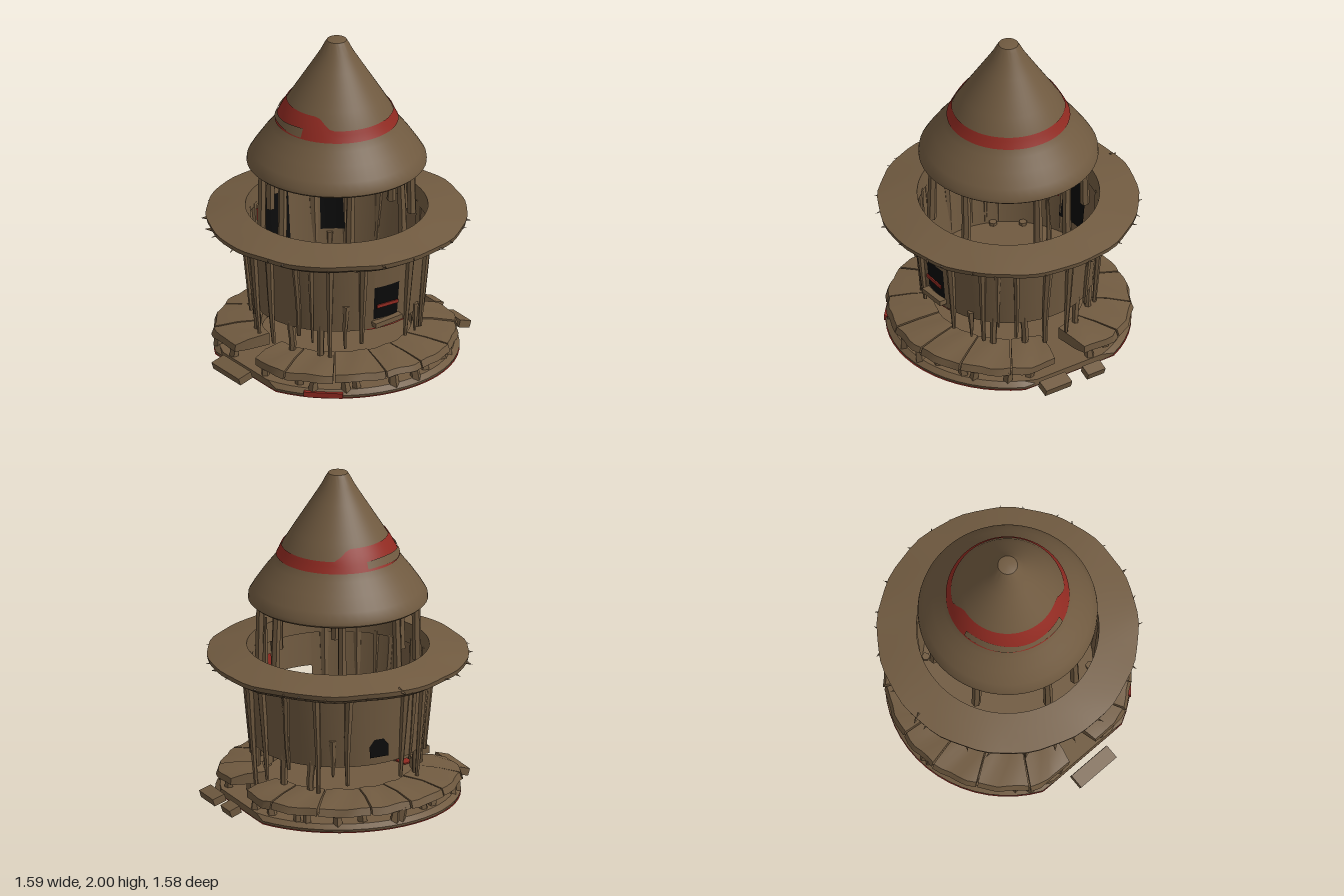
import * as THREE from 'three';
import { toCreasedNormals } from 'three/addons/utils/BufferGeometryUtils.js';

const wood = new THREE.MeshStandardMaterial({ color: 0x705a40, side: THREE.DoubleSide });
wood.name = 'weathered brown';
const red = new THREE.MeshStandardMaterial({ color: 0x912a21, side: THREE.DoubleSide });
red.name = 'faded red';
const black = new THREE.MeshStandardMaterial({ color: 0x0a0a0a });
black.name = 'opening black';

const TAU = Math.PI * 2;
const rad = (d) => (d * Math.PI) / 180;

// Seeded random numbers
let seed = 7;
function rnd(a = 0, b = 1) {
  seed = (seed * 16807) % 2147483647;
  return a + (b - a) * (seed / 2147483647);
}

export function createModel() {
  const model = new THREE.Group();

  function add(name, geo, mat, crease = 0.6) {
    const mesh = new THREE.Mesh(crease ? toCreasedNormals(geo, crease) : geo, mat);
    mesh.name = name;
    model.add(mesh);
    return mesh;
  }
  const lathe = (pts, start = 0, len = TAU, n = 48) =>
    new THREE.LatheGeometry(pts.map((p) => new THREE.Vector2(...p)), n, start, len);

  // Place a mesh around the axis; angle 0 is the front, 90 is +x
  function around(mesh, deg, r, y) {
    const a = rad(deg);
    mesh.position.set(Math.sin(a) * r, y, Math.cos(a) * r);
    mesh.rotation.y = a;
    return mesh;
  }

  // Tapered pole between two heights, leaning from one radius to another
  function pole(name, deg, y0, y1, r0, r1, w0, w1, sides = 6) {
    const h = y1 - y0;
    const geo = new THREE.CylinderGeometry(w1, w0, h, sides, 4);
    const p = geo.attributes.position;
    const bend = rnd(-0.006, 0.006);
    for (let i = 0; i < p.count; i++) {
      const t = p.getY(i) / h + 0.5;
      p.setX(i, p.getX(i) + bend * Math.sin(t * 5));
      p.setZ(i, p.getZ(i) + (t - 0.5) * (r1 - r0));
    }
    return around(add(name, geo, wood), deg, (r0 + r1) / 2, (y0 + y1) / 2);
  }

  // Upper conical roof
  const roof = [[0.47, 1.215], [0.515, 1.203], [0.528, 1.215], [0.525, 1.24], [0.495, 1.29], [0.44, 1.37],
    [0.385, 1.44], [0.352, 1.49], [0.325, 1.55], [0.27, 1.64], [0.21, 1.735], [0.15, 1.83],
    [0.1, 1.91], [0.072, 1.965], [0.058, 1.988], [0, 2]];
  add('upperRoof', lathe(roof, 0, TAU, 56), wood, 0.8);
  function roofRadius(y) {
    for (let i = 3; i < roof.length - 1; i++) {
      const [r0, y0] = roof[i], [r1, y1] = roof[i + 1];
      if (y <= y1) return r0 + ((r1 - r0) * (y - y0)) / (y1 - y0);
    }
    return 0;
  }

  // Painted band hugging the roof, its edges set by angle
  function band(name, mat, a0, a1, low, high, lift) {
    const geo = lathe([[1, 0], [1, 0.33], [1, 0.66], [1, 1]], rad(a0), rad(a1 - a0), 60);
    const p = geo.attributes.position;
    for (let i = 0; i < p.count; i++) {
      const a = Math.atan2(p.getX(i), p.getZ(i));
      const y = low(a) + (high(a) - low(a)) * p.getY(i);
      const r = roofRadius(y) + lift;
      p.setXYZ(i, Math.sin(a) * r, y, Math.cos(a) * r);
    }
    add(name, geo, mat, 0.8);
  }
  const backLeft = (a) => THREE.MathUtils.smoothstep(Math.cos(a - rad(-125)), 0.05, 0.4);
  band('roofBand', red, 0, 360, () => 1.483, (a) => 1.548 + 0.065 * backLeft(a), 0.006);
  band('wornPatch', wood, -177, -70, (a) => 1.495 + 0.004 * Math.sin(a * 6),
    (a) => 1.535 + 0.007 * Math.sin(a * 4), 0.013);

  // Roof posts, paired about both axes, and a broken stub
  for (const a of [24, 77.5]) {
    for (const deg of [a, -a, 180 - a, a - 180]) {
      const r = a < 45 ? 0.445 : 0.467;
      pole('roofPost', deg + rnd(-1, 1), 0.78, 1.25, r + 0.01, r, 0.028, 0.025);
    }
  }
  pole('brokenPost', 87, 0.78, 1.15, 0.47, 0.46, 0.022, 0.007, 5);

  // Wide ring-shaped lower roof with an uneven rim
  const brim = lathe([[0.53, 0.8], [0.7, 0.805], [0.76, 0.84], [0.767, 0.87], [0.64, 0.9], [0.535, 0.92], [0.53, 0.8]], 0, TAU, 64);
  const bp = brim.attributes.position;
  for (let i = 0; i < bp.count; i++) {
    const x = bp.getX(i), z = bp.getZ(i), a = Math.atan2(x, z);
    if (Math.hypot(x, z) > 0.68) {
      const s = 1 + 0.004 * Math.sin(a * 17);
      bp.setXYZ(i, x * s, bp.getY(i) + 0.004 * Math.sin(a * 9), z * s);
    }
  }
  add('lowerRoof', brim, wood);
  for (let k = 0; k < 26; k++) {
    const spike = around(add('rimSplinter', new THREE.ConeGeometry(rnd(0.01, 0.02), 0.07, 4), wood),
      k * 13.8 + rnd(-5, 5), rnd(0.75, 0.765), rnd(0.835, 0.86));
    spike.rotation.set(Math.PI / 2 + rnd(-0.1, 0.25), spike.rotation.y + rnd(-0.6, 0.6), 0, 'YXZ');
  }

  // Flared wall with a gap for the front window
  const wallR = (y) => 0.5 + ((y - 0.33) / 0.48) * 0.045;
  const wallPart = (y0, y1, a0, a1, n, lift = 0) =>
    lathe([[wallR(y0) + lift, y0], [wallR(y1) + lift, y1]], rad(a0), rad(a1 - a0), n);
  add('wall', wallPart(0.33, 0.81, 9.6, 350.4, 44), wood);
  add('wallBelowWindow', wallPart(0.33, 0.39, -9.6, 9.6, 3), wood);
  add('wallAboveWindow', wallPart(0.6, 0.81, -9.6, 9.6, 3), wood);
  add('floor', new THREE.CylinderGeometry(0.5, 0.5, 0.01, 40), wood).position.y = 0.336;

  // Front window, its bar and sill, and a red strip along the foot of the wall
  add('frontWindow', wallPart(0.39, 0.6, -9.6, 9.6, 3), black, 0);
  add('windowBar', new THREE.BoxGeometry(0.15, 0.02, 0.008), red).position.set(0, 0.478, 0.522);
  add('wallFootStrip', wallPart(0.326, 0.333, -14, 16, 6, 0.004), red);
  const sill = add('windowSill', new THREE.BoxGeometry(0.19, 0.03, 0.045), wood);
  sill.position.set(0, 0.372, 0.52);
  sill.rotation.z = 0.08;

  // Small arched back window
  const arch = new THREE.Shape();
  arch.moveTo(-0.06, -0.05).lineTo(0.06, -0.05).lineTo(0.062, 0.02).lineTo(0.03, 0.06).lineTo(-0.03, 0.06).lineTo(-0.062, 0.02);
  const hatch = add('backWindow', new THREE.ShapeGeometry(arch), black, 0);
  hatch.position.set(-0.01, 0.43, -0.517);
  hatch.rotation.y = Math.PI;

  // Curved plates on the inner wall, facing inward: dark openings and red hangings
  function innerPlate(name, mat, deg, width, y0, y1) {
    const r0 = wallR(y0) - 0.008, r1 = wallR(y1) - 0.008;
    add(name, lathe([[r1, y1], [r0, y0]], rad(deg - width / 2), rad(width), 5), mat, 0);
  }
  innerPlate('innerOpening', black, 189, 23, 0.45, 0.8);
  innerPlate('innerOpening', black, 148, 16, 0.52, 0.76);
  innerPlate('innerOpening', black, 59, 24, 0.42, 0.6);
  innerPlate('innerOpeningTop', black, 59, 14, 0.6, 0.66);
  innerPlate('innerHanging', red, 206, 9, 0.58, 0.77);
  innerPlate('innerHanging', red, 23, 3, 0.62, 0.73);

  // Outer wall posts and pointed planks: angle, foot height, thickness at top
  for (const [a, foot, w] of [[19, 0.21, 0.031], [40, 0.17, 0.026], [62, 0.25, 0.022], [80, 0.2, 0.03]]) {
    for (const deg of [a, -a, 180 - a, a - 180]) {
      pole('wallPost', deg + rnd(-2, 2), deg === 80 ? 0.1 : foot + rnd(-0.02, 0.04), 0.83, 0.505, 0.552, 0.012, w);
    }
  }
  for (const [deg, foot, top] of [[-29, 0.22, 0.5], [31, 0.2, 0.38], [50, 0.3, 0.82], [-51, 0.25, 0.82],
    [118, 0.3, 0.8], [-108, 0.28, 0.82], [150, 0.27, 0.5], [-150, 0.3, 0.82]]) {
    pole('plank', deg, foot, top, 0.5, wallR(top), 0.007, 0.022, 5);
  }
  // Stilts carrying the floor
  for (const a of [46, 68]) {
    for (const deg of [a, -a, 180 - a, a - 180]) pole('stilt', deg, 0.15, 0.36, 0.475, 0.48, 0.02, 0.024);
  }

  // Foundation disc, flattened on both sides, with a red underside rim
  const clampX = (geo) => {
    const p = geo.attributes.position;
    for (let i = 0; i < p.count; i++) p.setX(i, THREE.MathUtils.clamp(p.getX(i), -0.65, 0.65));
    return geo;
  };
  add('foundation', clampX(lathe([[0, 0.004], [0.715, 0.004], [0.72, 0.02], [0.69, 0.045], [0, 0.05]], 0, TAU, 56)), wood);
  const rim = new THREE.RingGeometry(0.64, 0.72, 56, 1).rotateX(Math.PI / 2);
  const rp = rim.attributes.position;
  for (let i = 0; i < rp.count; i++) {
    const x = rp.getX(i), z = rp.getZ(i);
    if (Math.hypot(x, z) < 0.66) {
      const s = 0.97 + 0.025 * Math.sin(Math.atan2(x, z) * 9);
      rp.setX(i, x * s);
      rp.setZ(i, z * s);
    }
  }
  add('undersideRim', clampX(rim), red);
  around(add('redStone', new THREE.BoxGeometry(0.23, 0.032, 0.03), red), -41, 0.705, 0.019);
  around(add('redFloorPatch', new THREE.BoxGeometry(0.08, 0.008, 0.07), red), -74, 0.53, 0.054);

  // Paving slab: a box bent into a ring segment with an uneven outer edge
  function slab(a0, a1, r0, r1, y0, y1) {
    const geo = new THREE.BoxGeometry(1, 1, 1, 5, 1, 2);
    const p = geo.attributes.position;
    for (let i = 0; i < p.count; i++) {
      const v = p.getZ(i) + 0.5, top = p.getY(i) > 0;
      const a = rad(a0 + (a1 - a0) * (p.getX(i) + 0.5));
      const r = r0 + (r1 - r0) * v + 0.006 * v * Math.sin(a * 23) - (top ? 0.015 * v : 0);
      const y = (top ? y1 - 0.03 * v * v : y0) + 0.004 * Math.sin(a * 17 + v * 3);
      p.setXYZ(i, Math.sin(a) * r, y, Math.cos(a) * r);
    }
    add('pavingSlab', clampX(geo), wood);
  }
  const edges = [-82, -60, -36, -10.5, 10, 33, 58, 82];
  for (const turn of [0, 180]) {
    for (let i = 0; i < edges.length - 1; i++) {
      slab(turn + edges[i] + 0.4, turn + edges[i + 1] - 0.4, 0.44, rnd(0.71, 0.73), rnd(0.095, 0.105), rnd(0.17, 0.177));
    }
  }

  // Small stones carrying the slabs
  for (let k = 0; k < 44; k++) {
    const deg = k * 8.2 + rnd(-3, 3);
    if (Math.abs(Math.cos(rad(deg))) < 0.2) continue;
    const r = Math.min(k % 3 ? rnd(0.64, 0.69) : 0.52, 0.62 / Math.abs(Math.sin(rad(deg)) + 1e-6));
    const stone = around(add('supportStone', new THREE.CylinderGeometry(rnd(0.018, 0.03), rnd(0.025, 0.035), 0.09, 5), wood), deg, r, 0.07);
    stone.rotation.z = rnd(-0.2, 0.2);
  }

  // Loose step slabs on both sides
  for (const [x, y, z, w, d, tilt] of [[-0.745, 0.045, 0, 0.09, 0.28, 0.3], [0.74, 0.04, 0.16, 0.08, 0.18, -0.3],
    [0.75, 0.045, -0.1, 0.07, 0.12, -0.35]]) {
    const step = add('looseSlab', new THREE.BoxGeometry(w, 0.045, d), wood);
    step.position.set(x, y, z);
    step.rotation.z = tilt;
  }

  return model;
}
